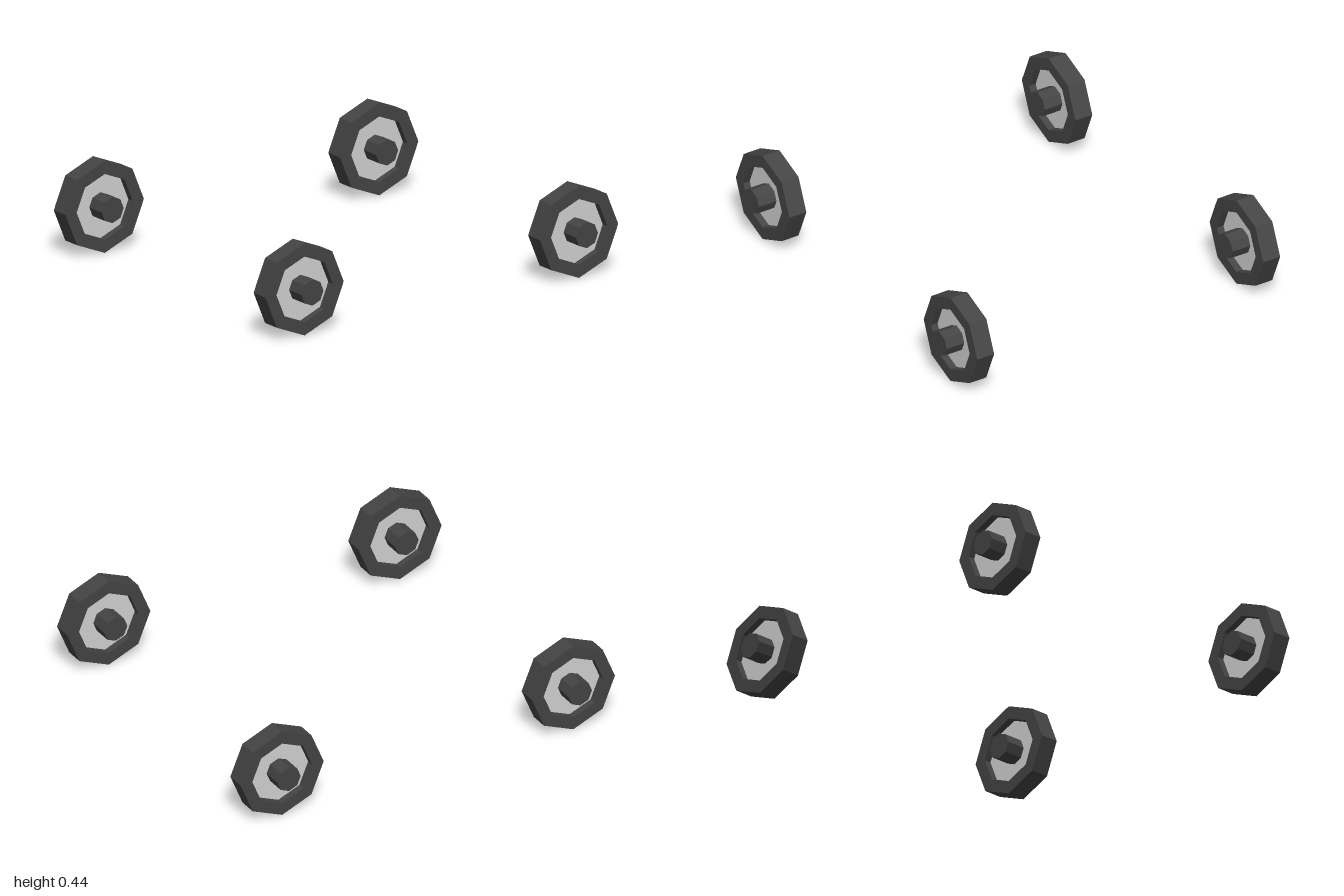
import * as THREE from 'three';

const SIDES = 8;
const RADIUS = 0.222;      // tyre outer radius
const RIM = 0.159;         // tyre inner radius
const HALF_WIDTH = 0.047;  // half the tyre width

const rubber = new THREE.MeshStandardMaterial({ color: 0x434343, flatShading: true });
rubber.name = 'darkRubber';
const metal = new THREE.MeshStandardMaterial({ color: 0xd0d0d0, flatShading: true });
metal.name = 'lightMetal';

function part(name, geometry, material) {
  const mesh = new THREE.Mesh(geometry, material);
  mesh.name = name;
  return mesh;
}

// Octagonal solid lying along z, with a corner straight up
function disc(radius, length) {
  return new THREE.CylinderGeometry(radius, radius, length, SIDES).rotateX(Math.PI / 2);
}

function createWheel(name) {
  const wheel = new THREE.Group();
  wheel.name = name;

  // Tyre: square-section ring
  const profile = [
    [RIM, -HALF_WIDTH], [RADIUS, -HALF_WIDTH], [RADIUS, HALF_WIDTH], [RIM, HALF_WIDTH], [RIM, -HALF_WIDTH],
  ].map(([r, h]) => new THREE.Vector2(r, h));
  const ring = new THREE.LatheGeometry(profile, SIDES).rotateX(Math.PI / 2);
  wheel.add(part('tyre', ring, rubber));

  // Rim plate recessed on both sides, and the axle stub through it
  wheel.add(part('rim', disc(RIM, 0.024), metal));
  wheel.add(part('axle', disc(0.0625, 0.22), rubber));
  return wheel;
}

export function createModel() {
  const model = new THREE.Group();
  model.name = 'wheelSet';
  for (const [end, z] of [['front', 0.795], ['back', -0.795]]) {
    for (const [side, x] of [['Left', 0.778], ['Right', -0.778]]) {
      const wheel = createWheel(`${end}${side}Wheel`);
      wheel.position.set(x, RADIUS, z);
      model.add(wheel);
    }
  }
  return model;
}
